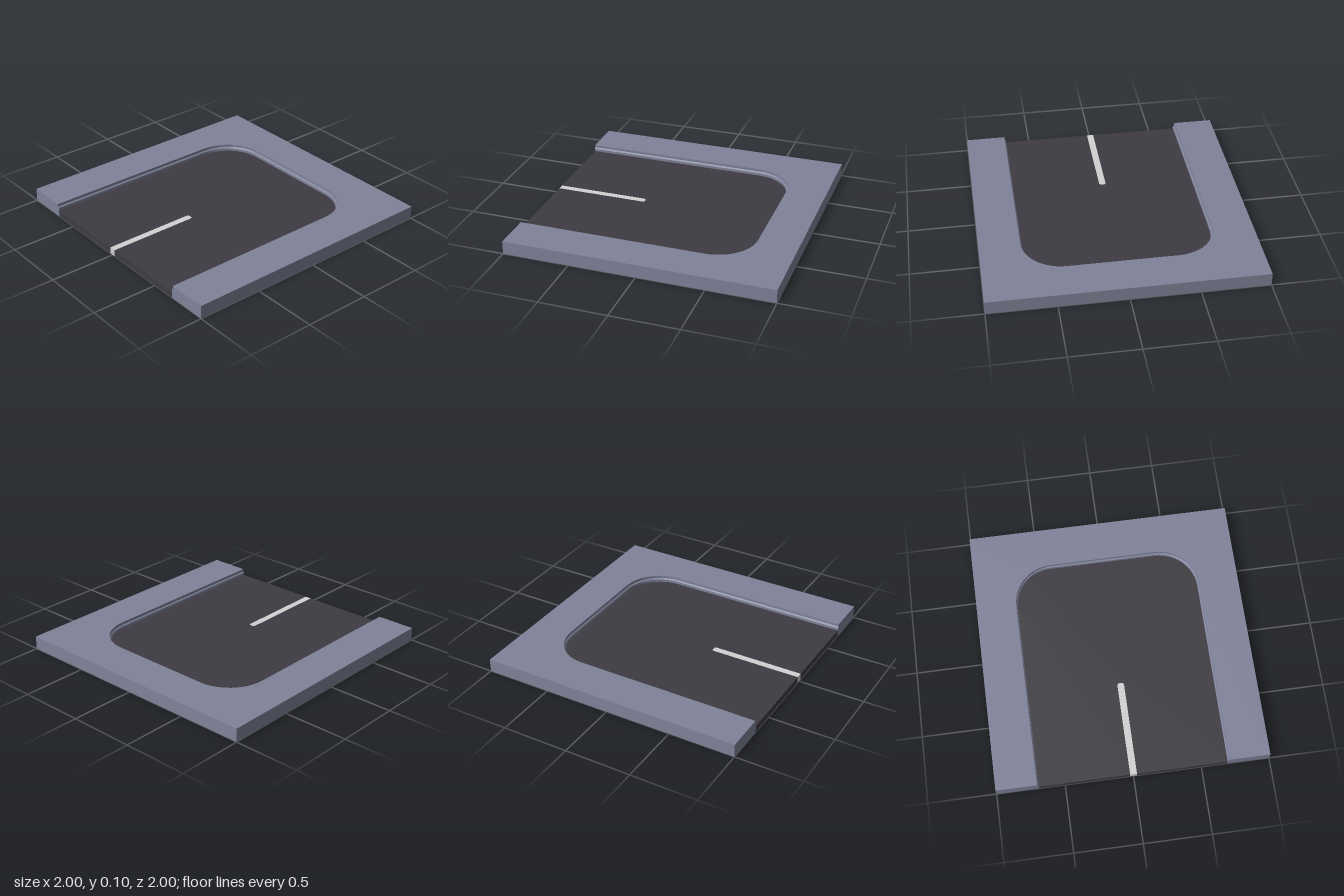
import * as THREE from 'three';

const material = (name, color) =>
  new THREE.MeshStandardMaterial({ name, color, side: THREE.DoubleSide });

const TOP = 0.1, ROAD = 0.05, LINE = 0.025;

// U-shaped edge of the road in [x, z], running from the open side round the end and back
function roadEdge(half) {
  const pts = [[-1, -half]];
  const r = half - 0.4, steps = 12;
  for (const [cz, start] of [[-0.4, -Math.PI / 2], [0.4, 0]]) {
    for (let i = 0; i <= steps; i++) {
      const a = start + (i / steps) * Math.PI / 2;
      pts.push([0.4 + r * Math.cos(a), cz + r * Math.sin(a)]);
    }
  }
  pts.push([-1, half]);
  return pts;
}

const shapeOf = (pts) => new THREE.Shape(pts.map(([x, y]) => new THREE.Vector2(x, y)));

// Horizontal face from [x, z] points
function flat(pts, y) {
  return new THREE.ShapeGeometry(shapeOf(pts.map(([x, z]) => [x, -z])))
    .rotateX(-Math.PI / 2).translate(0, y, 0);
}

// Upright face on one side of the tile
function wall(pts, angle) {
  return new THREE.ShapeGeometry(shapeOf(pts)).translate(0, 0, 1).rotateY(angle);
}

const rect = (a, b, h) => [[a, 0], [b, 0], [b, h], [a, h]];

// Band between two road edges at different heights
function band([halfA, yA], [halfB, yB]) {
  const a = roadEdge(halfA), b = roadEdge(halfB);
  const pos = [], index = [];
  a.forEach(([x, z], i) => {
    pos.push(x, yA, z, b[i][0], yB, b[i][1]);
    if (i < a.length - 1) {
      const k = i * 2;
      index.push(k, k + 1, k + 2, k + 2, k + 1, k + 3);
    }
  });
  const g = new THREE.BufferGeometry();
  g.setAttribute('position', new THREE.Float32BufferAttribute(pos, 3));
  g.setIndex(index);
  g.computeVertexNormals();
  return g;
}

export function createModel() {
  const group = new THREE.Group();
  group.name = 'roadEndTile';
  const paving = material('paving', 0x80839a);
  const asphalt = material('asphalt', 0x3e3c42);
  const paint = material('linePaint', 0xd2d2d2);
  const add = (name, geometry, mat) => {
    const mesh = new THREE.Mesh(geometry, mat);
    mesh.name = name;
    group.add(mesh);
  };

  // Pavement surface around the road
  add('pavement', flat([...roadEdge(0.7), [-1, 1], [1, 1], [1, -1], [-1, -1]], TOP), paving);

  // Outer walls on the three closed sides; the underside stays open
  [['frontWall', 0], ['leftWall', Math.PI / 2], ['backWall', Math.PI]].forEach(([name, angle]) =>
    add(name, wall(rect(-1, 1, TOP), angle), paving));

  // Kerb with a small bevelled step
  const profile = [[0.7, TOP], [0.7, 0.08], [0.69, 0.07], [0.69, ROAD]];
  for (let i = 0; i < profile.length - 1; i++) {
    add('kerb' + (i + 1), band(profile[i], profile[i + 1]), paving);
  }

  // Cut ends of pavement and road on the open side
  for (const s of [1, -1]) {
    const end = [[0.69, 0], [1, 0], [1, TOP], ...profile];
    add('pavementEnd', wall(end.map(([z, y]) => [s * z, y]), -Math.PI / 2), paving);
    add('roadEnd', wall(rect(s * LINE, s * 0.69, ROAD), -Math.PI / 2), asphalt);
  }
  add('lineEnd', wall(rect(-LINE, LINE, ROAD), -Math.PI / 2), paint);

  // Centre line set flush into the road surface
  const line = [[-1, LINE], [-0.31, LINE], [-0.3, 0.016], [-0.3, -0.016], [-0.31, -LINE], [-1, -LINE]];
  add('centreLine', flat(line, ROAD), paint);
  add('road', flat([...roadEdge(0.69), ...line], ROAD), asphalt);

  return group;
}
